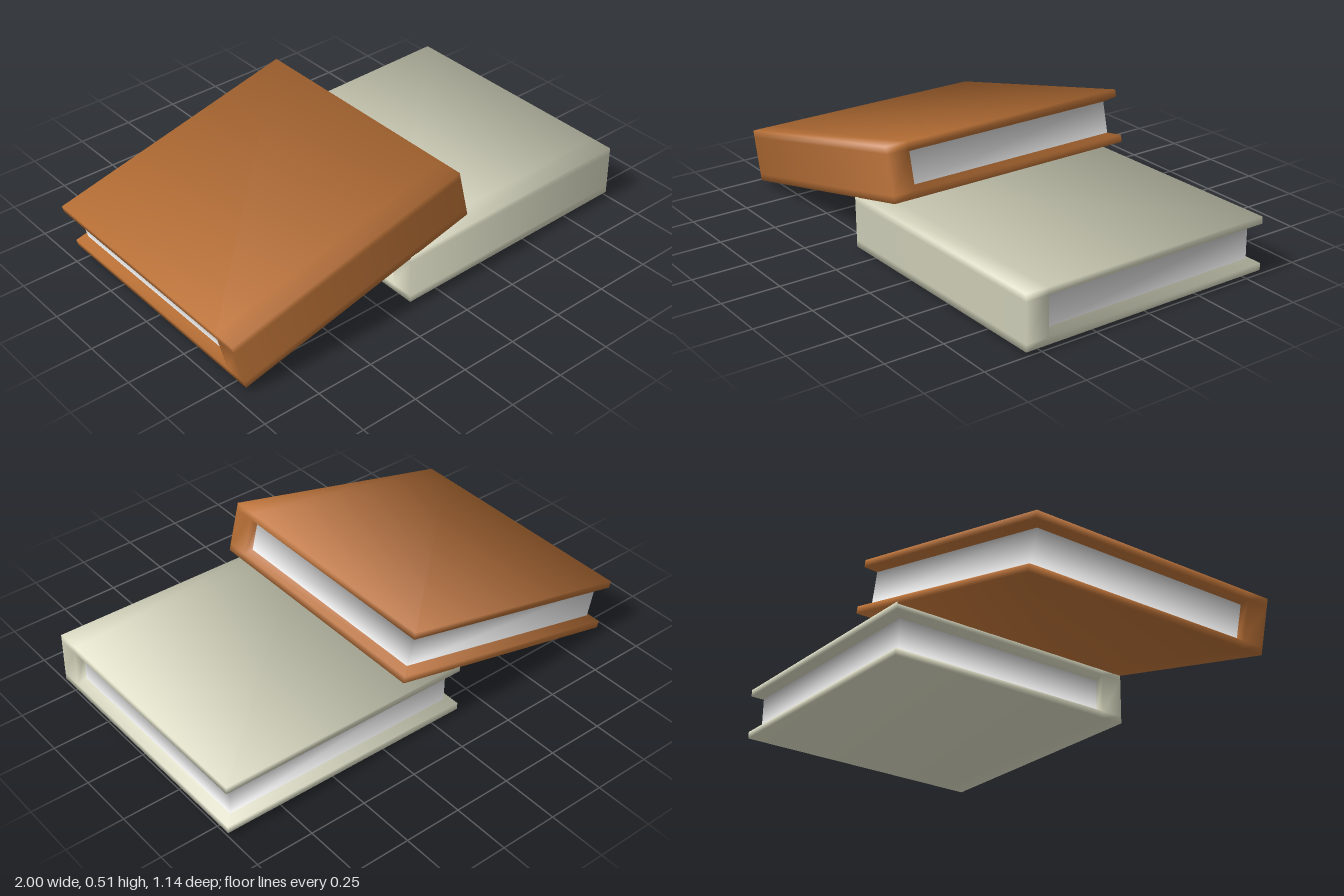
import * as THREE from 'three';

// Book dimensions: half width, half depth, back of the spine, thickness
const H = 0.5685, D = 0.57, SPINE = 0.47, T = 0.226;
const INSET = 0.04; // how far the pages sit inside the cover

function buildBook(coverMaterial, pageMaterial) {
  const points = [];
  const coverQuads = [], pageQuads = [];

  // Outer outline, counter-clockwise from above: spine front, spine back, fore edge
  const outline = [[-H, D], [H, D], [H, SPINE], [H, -D], [-H, -D], [-H, SPINE]];
  const levels = [0, 0.03, T - 0.03, T];
  for (const y of levels) for (const [x, z] of outline) points.push([x, y - T / 2, z]);
  const outer = (level, k) => level * 6 + (k % 6);

  // Recessed outline of the page block, k = 2..5
  for (const y of [0.046, T - 0.046]) {
    for (const [x, z] of outline.slice(2)) {
      points.push([x - Math.sign(x) * INSET, y - T / 2, z < 0 ? z + INSET : z]);
    }
  }
  const inner = (level, k) => 24 + level * 4 + k - 2;

  // Cover boards and spine strip, top and bottom
  coverQuads.push([18, 19, 20, 23], [23, 20, 21, 22], [5, 2, 1, 0], [4, 3, 2, 5]);

  // Side walls; the three open sides have sloped lips running in to the pages
  for (let k = 0; k < 6; k++) {
    const open = k >= 2 && k <= 4;
    for (let level = 0; level < 3; level++) {
      if (open && level === 1) continue;
      coverQuads.push([outer(level, k), outer(level, k + 1), outer(level + 1, k + 1), outer(level + 1, k)]);
    }
    if (open) {
      coverQuads.push([outer(1, k), outer(1, k + 1), inner(0, k + 1), inner(0, k)]);
      coverQuads.push([inner(1, k), inner(1, k + 1), outer(2, k + 1), outer(2, k)]);
      pageQuads.push([inner(0, k), inner(0, k + 1), inner(1, k + 1), inner(1, k)]);
    }
  }

  // Inner walls of the spine beside the pages
  coverQuads.push([outer(1, 2), inner(0, 2), inner(1, 2), outer(2, 2)]);
  coverQuads.push([inner(0, 5), outer(1, 5), outer(2, 5), inner(1, 5)]);

  // Soft shading: each corner averages the faces that meet there
  const vectors = points.map((p) => new THREE.Vector3(...p));
  const normals = points.map(() => new THREE.Vector3());
  for (const [a, b, c, d] of [...coverQuads, ...pageQuads]) {
    const n = vectors[c].clone().sub(vectors[a]).cross(vectors[d].clone().sub(vectors[b])).normalize();
    for (const i of [a, b, c, d]) normals[i].add(n);
  }
  normals.forEach((n) => n.normalize());

  const makeMesh = (name, quads, material) => {
    const geometry = new THREE.BufferGeometry();
    geometry.setAttribute('position', new THREE.Float32BufferAttribute(points.flat(), 3));
    geometry.setAttribute('normal', new THREE.Float32BufferAttribute(normals.flatMap((n) => n.toArray()), 3));
    geometry.setIndex(quads.flatMap(([a, b, c, d]) => [a, b, c, a, c, d]));
    const mesh = new THREE.Mesh(geometry, material);
    mesh.name = name;
    return mesh;
  };

  const book = new THREE.Group();
  book.add(makeMesh('cover', coverQuads, coverMaterial), makeMesh('pages', pageQuads, pageMaterial));
  return book;
}

export function createModel() {
  const makeMaterial = (name, color) => {
    const material = new THREE.MeshStandardMaterial({ color });
    material.name = name;
    return material;
  };
  const orange = makeMaterial('orangeCover', 0xbf7438);
  const cream = makeMaterial('creamCover', 0xdedec6);
  const paper = makeMaterial('paper', 0xe7e7e7);

  const model = new THREE.Group();
  model.name = 'books';

  // Book lying almost flat
  const lower = buildBook(cream, paper);
  lower.name = 'flatBook';
  lower.position.set(0.43, 0.123, 0);
  lower.rotation.z = THREE.MathUtils.degToRad(0.9);

  // Book leaning on the edge of the first
  const upper = buildBook(orange, paper);
  upper.name = 'leaningBook';
  upper.position.set(-0.422, 0.265, 0);
  upper.rotation.z = THREE.MathUtils.degToRad(13.8);

  model.add(lower, upper);
  return model;
}
